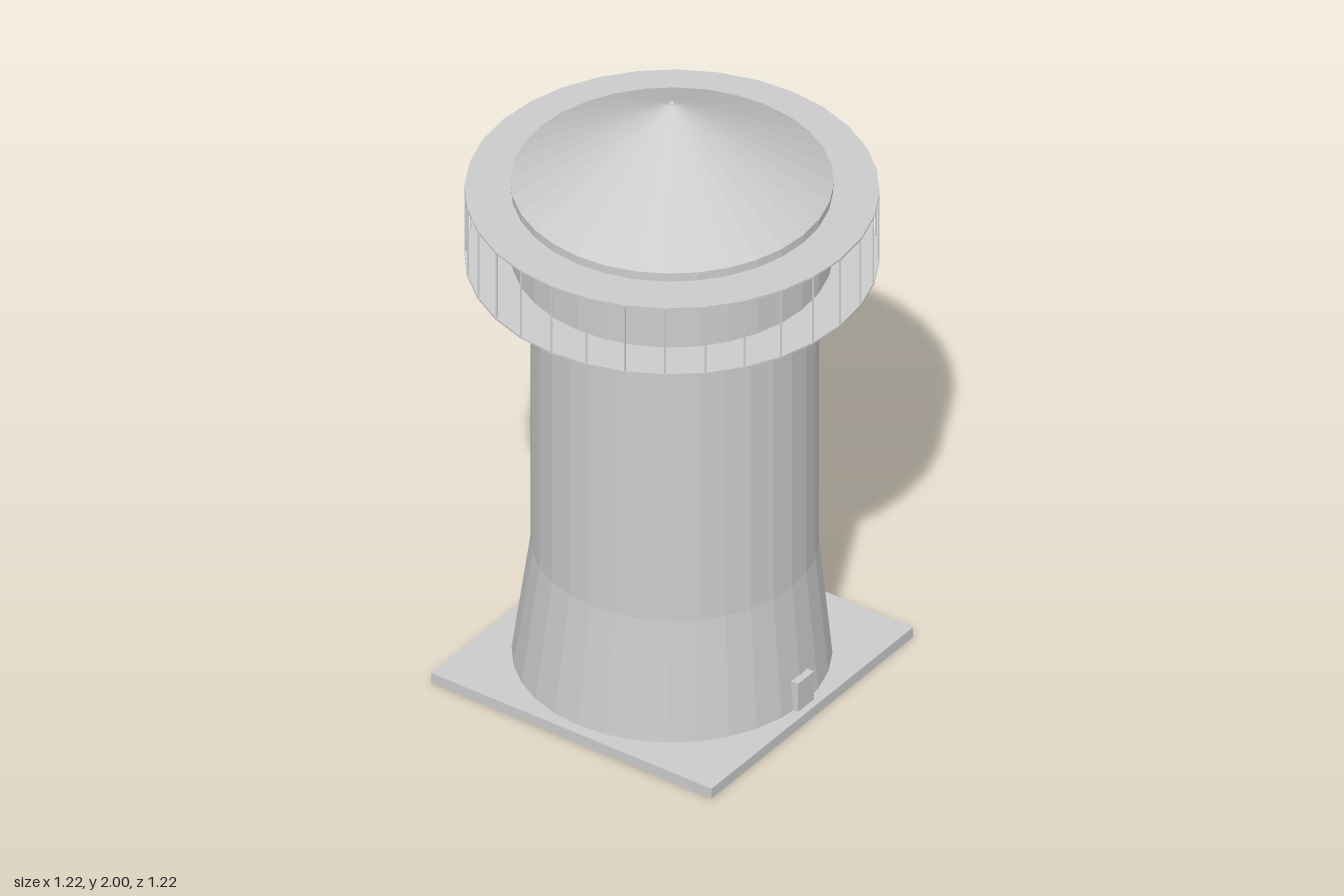
import * as THREE from 'three';

const SIDES = 32;

export function createModel() {
  const model = new THREE.Group();
  const flat = new THREE.MeshStandardMaterial({ color: 0xcccccc, flatShading: true });

  const add = (name, geometry, x = 0, y = 0, z = 0, parent = model) => {
    const mesh = new THREE.Mesh(geometry, flat);
    mesh.name = name;
    mesh.position.set(x, y, z);
    parent.add(mesh);
    return mesh;
  };
  const lathe = (points) =>
    new THREE.LatheGeometry(points.map(([r, y]) => new THREE.Vector2(r, y)), SIDES);

  // Square plinth and small door
  add('basePlate', new THREE.BoxGeometry(1.01, 0.035, 1.01), 0, 0.0175, 0);
  add('door', new THREE.BoxGeometry(0.08, 0.1, 0.06), 0, 0.085, 0.453);

  // Flared foot, shaft, corbel and lantern drum; the shaft sits slightly forward
  const tower = lathe([[0.47, 0.035], [0.423, 0.44], [0.423, 1.38], [0.472, 1.45], [0.472, 1.715]]);
  const pos = tower.attributes.position;
  for (let i = 0; i < pos.count; i++) {
    const y = pos.getY(i);
    if (y > 0.4 && y < 1.4) pos.setZ(i, pos.getZ(i) + 0.01);
  }
  add('tower', tower);

  // Conical roof with a tiny finial
  add('roof', lathe([[0, 1.71], [0.474, 1.71], [0.474, 1.716], [0.008, 1.992]]));
  add('finial', new THREE.SphereGeometry(0.01, 12, 8), 0, 1.99, 0);

  // Gallery: floor ring, upper ring and thin posts between them
  const gallery = new THREE.Group();
  gallery.name = 'gallery';
  model.add(gallery);
  const ring = (y) =>
    lathe([[0.46, y - 0.003], [0.608, y - 0.003], [0.608, y + 0.003], [0.46, y + 0.003]]);
  add('galleryFloor', ring(1.447), 0, 0, 0, gallery);
  add('galleryTopRing', ring(1.683), 0, 0, 0, gallery);
  const post = new THREE.CylinderGeometry(0.003, 0.003, 0.236, 6);
  for (let i = 0; i < SIDES; i++) {
    const a = (i / SIDES) * Math.PI * 2;
    add('galleryPost', post, 0.605 * Math.sin(a), 1.565, 0.605 * Math.cos(a), gallery);
  }

  return model;
}
